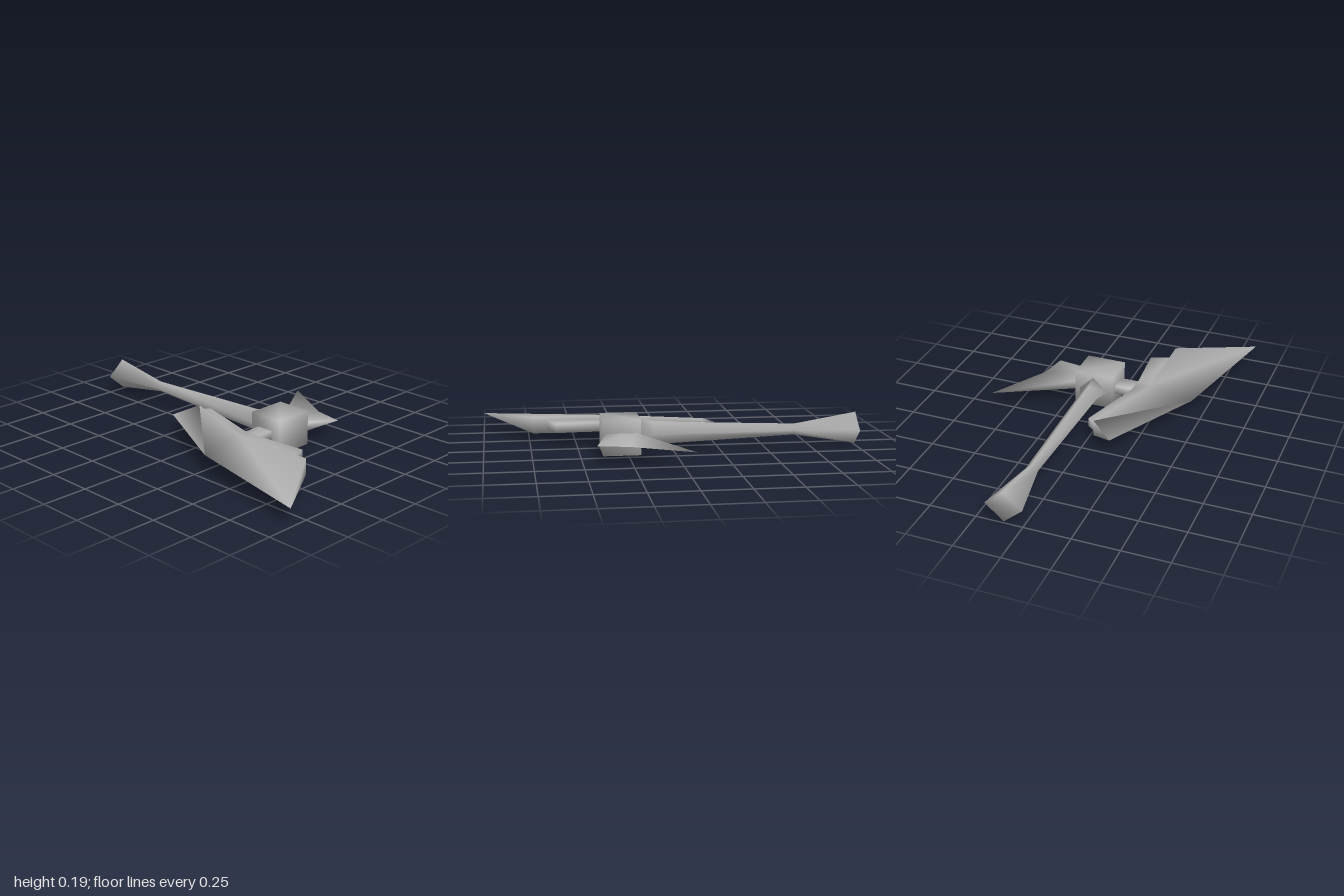
import * as THREE from 'three';
import { mergeVertices } from 'three/addons/utils/BufferGeometryUtils.js';

const MID = 0.095; // height of the flat-lying axe's centre plane
const ROD = -0.1; // z of the handle axis

// Skin a row of four-cornered rings, close both ends and smooth the shared corners
function loft(rings) {
  const p = rings.flat();
  let tris = [];
  const quad = (a, b, c, d) => tris.push([a, b, c], [a, c, d]);
  for (let i = 0; i < rings.length - 1; i++) {
    for (let j = 0; j < 4; j++) {
      const k = (j + 1) % 4;
      quad(i * 4 + j, i * 4 + k, i * 4 + 4 + k, i * 4 + 4 + j);
    }
  }
  const e = (rings.length - 1) * 4;
  quad(3, 2, 1, 0);
  quad(e, e + 1, e + 2, e + 3);

  // Drop collapsed triangles and make the faces point outward
  const v = (i) => new THREE.Vector3(...p[i]);
  tris = tris.filter(([a, b, c]) => v(b).sub(v(a)).cross(v(c).sub(v(a))).length() > 1e-7);
  const volume = tris.reduce((s, [a, b, c]) => s + v(a).dot(v(b).cross(v(c))), 0);
  if (volume < 0) tris.forEach((t) => t.reverse());

  let geo = new THREE.BufferGeometry();
  geo.setAttribute('position', new THREE.Float32BufferAttribute(p.flat(), 3));
  geo.setIndex(tris.flat());
  geo = mergeVertices(geo, 1e-4);
  geo.computeVertexNormals();
  return geo;
}

// Ring between an inner and an outer edge, each [x, z], with half thicknesses
const slab = ([x0, z0], [x1, z1], h0, h1) => [
  [x0, MID + h0, z0], [x1, MID + h1, z1], [x1, MID - h1, z1], [x0, MID - h0, z0],
];

// Diamond ring around the handle axis
const diamond = (x, hy, hz) => [
  [x, MID + hy, ROD], [x, MID, ROD + hz], [x, MID - hy, ROD], [x, MID, ROD - hz],
];

export function createModel() {
  const group = new THREE.Group();
  const steel = new THREE.MeshStandardMaterial({ color: 0xb0b0b0 });
  steel.name = 'grey steel';
  const add = (name, rings) => {
    const mesh = new THREE.Mesh(loft(rings), steel);
    mesh.name = name;
    group.add(mesh);
  };

  // Handle with flared pommel and collar
  add('handle', [
    diamond(-1, 0.086, 0.1),
    diamond(-0.66, 0.03, 0.034),
    diamond(0.11, 0.062, 0.053),
    diamond(0.19, 0.08, 0.082),
  ]);

  // Block joining handle, blade and spike
  add('headBlock', [0.183, 0.382].map((x) => slab([x, -0.207], [x, 0.012], 0.095, 0.095)));

  // Short neck from the block to the blade mount
  add('bladeNeck', [0.23, 0.325].map((x) => slab([x, -0.02], [x, 0.22], 0.024, 0.024)));

  // Thin mount along the back of the blade
  add('bladeMount', [
    slab([-0.14, 0], [-0.19, 0.06], 0.025, 0.025),
    slab([0.225, 0.11], [0.26, 0.22], 0.025, 0.025),
    slab([0.33, 0.113], [0.33, 0.22], 0.025, 0.025),
    slab([0.61, 0.09], [0.655, 0.21], 0.025, 0.025),
  ]);

  // Wedge blade: thick back, sharp outer edge
  add('blade', [
    slab([-0.185, 0.045], [-0.27, 0.165], 0.045, 0),
    slab([0.27, 0.2], [0.27, 0.445], 0.045, 0),
    slab([0.73, 0.2], [1, 0.61], 0.045, 0),
  ]);

  // Rear spike with a sharp forked edge
  add('rearSpike', [
    slab([0.21, -0.2], [-0.05, -0.61], 0.024, 0),
    slab([0.285, -0.2], [0.27, -0.43], 0.024, 0),
    slab([0.365, -0.2], [0.43, -0.4], 0.024, 0),
  ]);

  return group;
}
